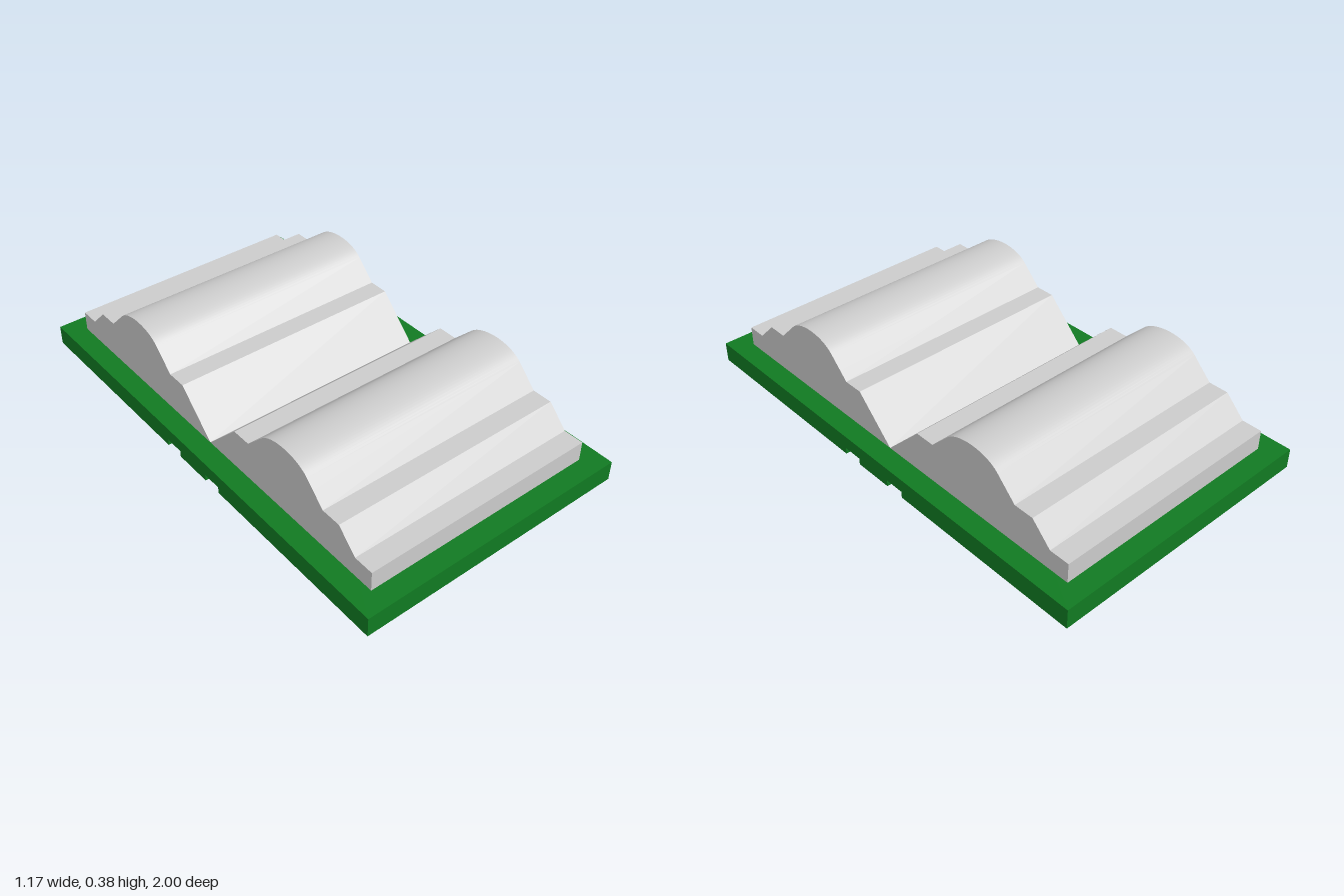
import * as THREE from 'three';
import { toCreasedNormals } from 'three/addons/utils/BufferGeometryUtils.js';

const U = 1 / 12; // grid unit of the design

// Extrude a (z, y) profile along x, centred on x = 0
function extrudeAcross(shape, width) {
  const geometry = new THREE.ExtrudeGeometry(shape, { depth: width, bevelEnabled: false, curveSegments: 24 });
  geometry.translate(0, 0, -width / 2);
  geometry.rotateY(-Math.PI / 2);
  return toCreasedNormals(geometry, 0.4);
}

// Base plate with two grooves running across its underside
function basePlate() {
  const g = 0.027;
  const shape = new THREE.Shape([
    [-1, 0], [-2 * U, 0], [-2 * U, g], [-U, g], [-U, 0],
    [U, 0], [U, g], [2 * U, g], [2 * U, 0], [1, 0], [1, U], [-1, U],
  ].map(([z, y]) => new THREE.Vector2(z, y)));
  return new THREE.Mesh(extrudeAcross(shape, 14 * U),
    new THREE.MeshStandardMaterial({ color: 0x117a22 }));
}

// Stepped ridge with a rounded crest; side = 1 front, -1 back
function ridge(side, material) {
  const s = side * U;
  const shape = new THREE.Shape();
  shape.moveTo(0, U);
  shape.lineTo(11 * s, U);
  shape.lineTo(11 * s, 2 * U);
  shape.lineTo(10 * s, 2 * U);
  shape.lineTo(9 * s, 3 * U);
  shape.lineTo(8 * s, 3 * U);
  shape.lineTo(7 * s, 4 * U);
  shape.bezierCurveTo(6.333 * s, 4.667 * U, 4.667 * s, 4.667 * U, 4 * s, 4 * U);
  shape.lineTo(3 * s, 3 * U);
  shape.lineTo(2 * s, 3 * U);
  shape.closePath();
  return new THREE.Mesh(extrudeAcross(shape, 12 * U), material);
}

export function createModel() {
  const model = new THREE.Group();
  model.name = 'ridgedBlock';

  const base = basePlate();
  base.name = 'basePlate';
  model.add(base);

  const grey = new THREE.MeshStandardMaterial({ color: 0xcccccc });
  for (const [side, name] of [[1, 'frontRidge'], [-1, 'backRidge']]) {
    const mesh = ridge(side, grey);
    mesh.name = name;
    model.add(mesh);
  }
  return model;
}
